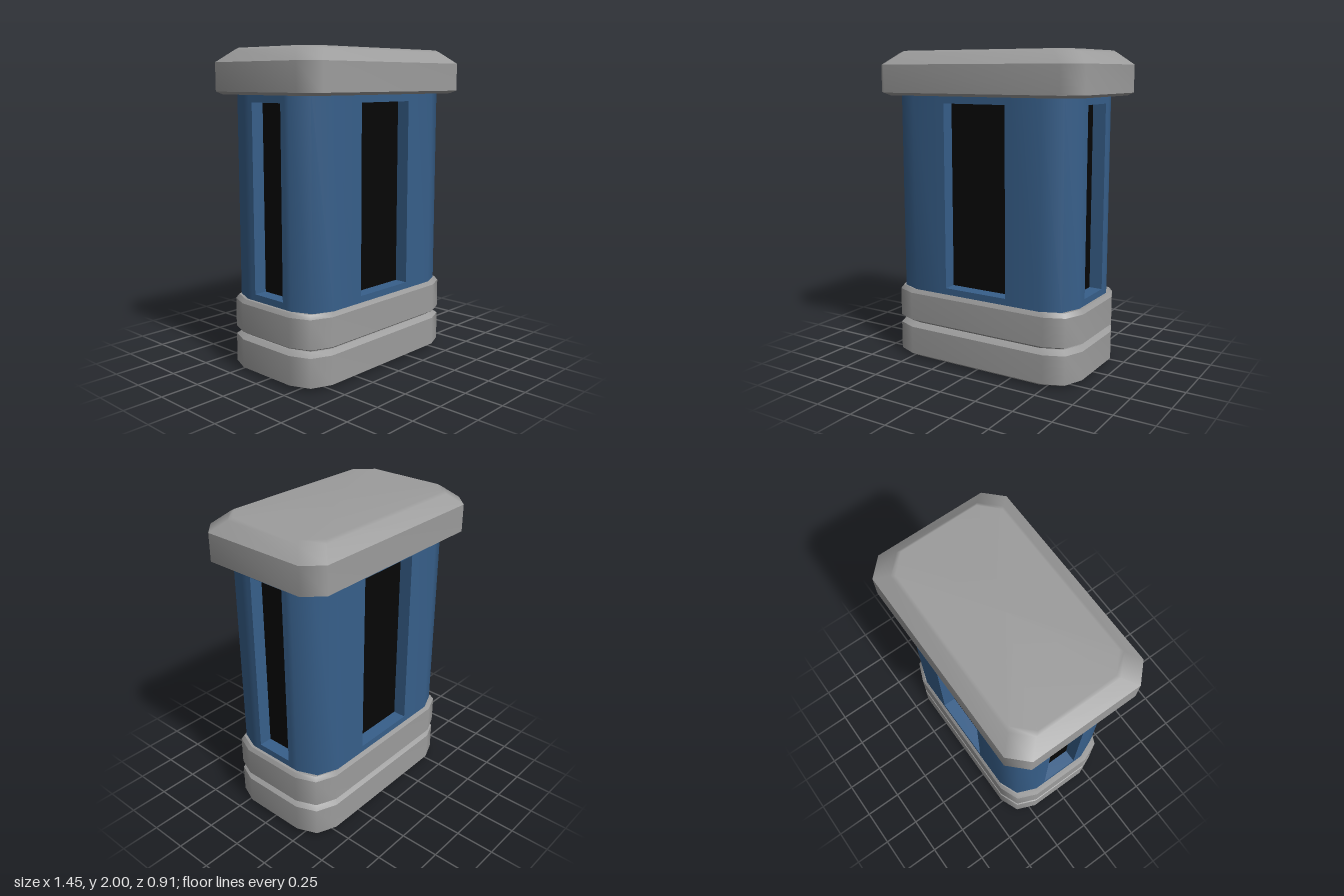
import * as THREE from 'three';
import { mergeGeometries } from 'three/addons/utils/BufferGeometryUtils.js';

const mat = (color) => new THREE.MeshStandardMaterial({ color });
const grey = mat(0x9c9c9c), blue = mat(0x375f8a), black = mat(0x060606), orange = mat(0xe07a1c);

function addMesh(parent, name, geometry, material) {
  const mesh = new THREE.Mesh(geometry, material);
  mesh.name = name;
  parent.add(mesh);
  return mesh;
}

// Rectangle with rounded corners, as [x, z] points running from +x towards +z
function outline(hx, hz, r, seg) {
  const pts = [];
  for (let q = 0; q < 4; q++) {
    const sx = q === 0 || q === 3 ? 1 : -1, sz = q < 2 ? 1 : -1;
    for (let i = 0; i <= seg; i++) {
      const a = (q + i / seg) * Math.PI / 2;
      pts.push([sx * (hx - r) + r * Math.cos(a), sz * (hz - r) + r * Math.sin(a)]);
    }
  }
  return pts;
}

// Smooth skin through stacked rings [{ y, pts }], optionally closed round and capped
function loft(rings, { closed = true, top = false, bottom = false } = {}) {
  const n = rings[0].pts.length, pos = [], idx = [];
  for (const { y, pts } of rings) for (const [x, z] of pts) pos.push(x, y, z);
  const steps = closed ? n : n - 1;
  for (let i = 0; i < rings.length - 1; i++) {
    for (let j = 0; j < steps; j++) {
      const a = i * n + j, b = i * n + (j + 1) % n;
      idx.push(a, a + n, b + n, a, b + n, b);
    }
  }
  const fan = (ring, up) => {
    const c = pos.length / 3, o = ring * n;
    pos.push(0, rings[ring].y, 0);
    for (let j = 0; j < n; j++) {
      const a = o + j, b = o + (j + 1) % n;
      idx.push(c, up ? b : a, up ? a : b);
    }
  };
  if (top) fan(rings.length - 1, true);
  if (bottom) fan(0, false);
  const g = new THREE.BufferGeometry();
  g.setAttribute('position', new THREE.Float32BufferAttribute(pos, 3));
  g.setIndex(idx);
  g.computeVertexNormals();
  return g;
}

function rectPath(Type, x0, y0, x1, y1) {
  return new Type([[x0, y0], [x1, y0], [x1, y1], [x0, y1]].map((p) => new THREE.Vector2(...p)));
}

// Bevelled base band with hard edges between wall and bevels
function band(y, topInset, bottom) {
  const ring = (inset, dy) => ({ y: y + dy, pts: outline(0.67 - inset, 0.39 - inset, 0.18, 2) });
  const parts = [
    loft([ring(0.04, 0), ring(0, 0.025)]),
    loft([ring(0, 0.025), ring(0, 0.208)]),
    loft([ring(0, 0.208), ring(topInset, 0.234)]),
    loft([ring(topInset, 0.234)], { top: true }),
  ];
  if (bottom) parts.push(loft([ring(0.04, 0)], { bottom: true }));
  return mergeGeometries(parts);
}

// Lid with chamfered corners, a small lower bevel and a sloped top edge
function lid() {
  const ring = (inset, y) => ({ y, pts: outline(0.725 - inset, 0.455 - inset, 0.105, 1) });
  return mergeGeometries([
    loft([ring(0.03, 1.725)], { bottom: true }),
    loft([ring(0.03, 1.725), ring(0, 1.742)]),
    loft([ring(0, 1.742), ring(0, 1.915)]),
    loft([ring(0, 1.915), ring(0.08, 1.985), ring(0.1, 2)], { top: true }),
  ]);
}

export function createModel() {
  const model = new THREE.Group();
  model.name = 'canister';
  const HX = 0.637, HZ = 0.374, R = 0.18, Y0 = 0.44, Y1 = 1.75, DEPTH = 0.085, RIM = 0.03;

  // Lid and the two base bands
  addMesh(model, 'lid', lid(), grey);
  addMesh(model, 'upperBand', band(0.234, 0.015, true), grey);
  addMesh(model, 'lowerBand', band(0, 0.03, false), grey);

  // Rounded body corners, reaching to the window frames
  const quarter = [[HX, 0.125 + RIM], ...outline(HX, HZ, R, 2).slice(0, 3), [0.22 + RIM, HZ]];
  const corners = [];
  for (const sx of [1, -1]) {
    for (const sz of [1, -1]) {
      const pts = quarter.map(([x, z]) => [x * sx, z * sz]);
      if (sx * sz < 0) pts.reverse();
      corners.push(loft([{ y: Y0, pts }, { y: Y1, pts }], { closed: false }));
    }
  }
  addMesh(model, 'bodyCorners', mergeGeometries(corners), blue);

  // Recessed dark window on each of the four sides
  for (let i = 0; i < 4; i++) {
    const half = i % 2 ? 0.125 : 0.22, dist = i % 2 ? HX : HZ;
    const side = new THREE.Group();
    side.name = 'window' + ['Front', 'Left', 'Back', 'Right'][i];
    const shape = rectPath(THREE.Shape, -half - RIM, Y0, half + RIM, Y1);
    shape.holes.push(rectPath(THREE.Path, -half, 0.51, half, 1.68));
    const frame = new THREE.ExtrudeGeometry(shape, { depth: DEPTH, bevelEnabled: false });
    addMesh(side, 'windowFrame', frame, blue).position.z = dist - DEPTH;
    const pane = new THREE.BoxGeometry(half * 2 + 0.02, 1.19, 0.02);
    addMesh(side, 'windowPane', pane, black).position.set(0, 1.095, dist - DEPTH - 0.01);
    side.rotation.y = i * Math.PI / 2;
    model.add(side);
  }

  // Underside plate with four slots, each holding a contact
  const plate = new THREE.Shape(outline(0.63, 0.35, 0.18, 2).map((p) => new THREE.Vector2(...p)));
  for (let i = 0; i < 4; i++) {
    const x = (i - 1.5) * 0.27;
    plate.holes.push(rectPath(THREE.Path, x - 0.105, -0.25, x + 0.105, 0.25));
    const contact = new THREE.BoxGeometry(0.22, 0.02, 0.52);
    addMesh(model, 'contact' + (i + 1), contact, orange).position.set(x, 0.08, 0);
  }
  const plateGeometry = new THREE.ExtrudeGeometry(plate, { depth: 0.07, bevelEnabled: false });
  addMesh(model, 'slottedPlate', plateGeometry.rotateX(-Math.PI / 2), grey);

  return model;
}
